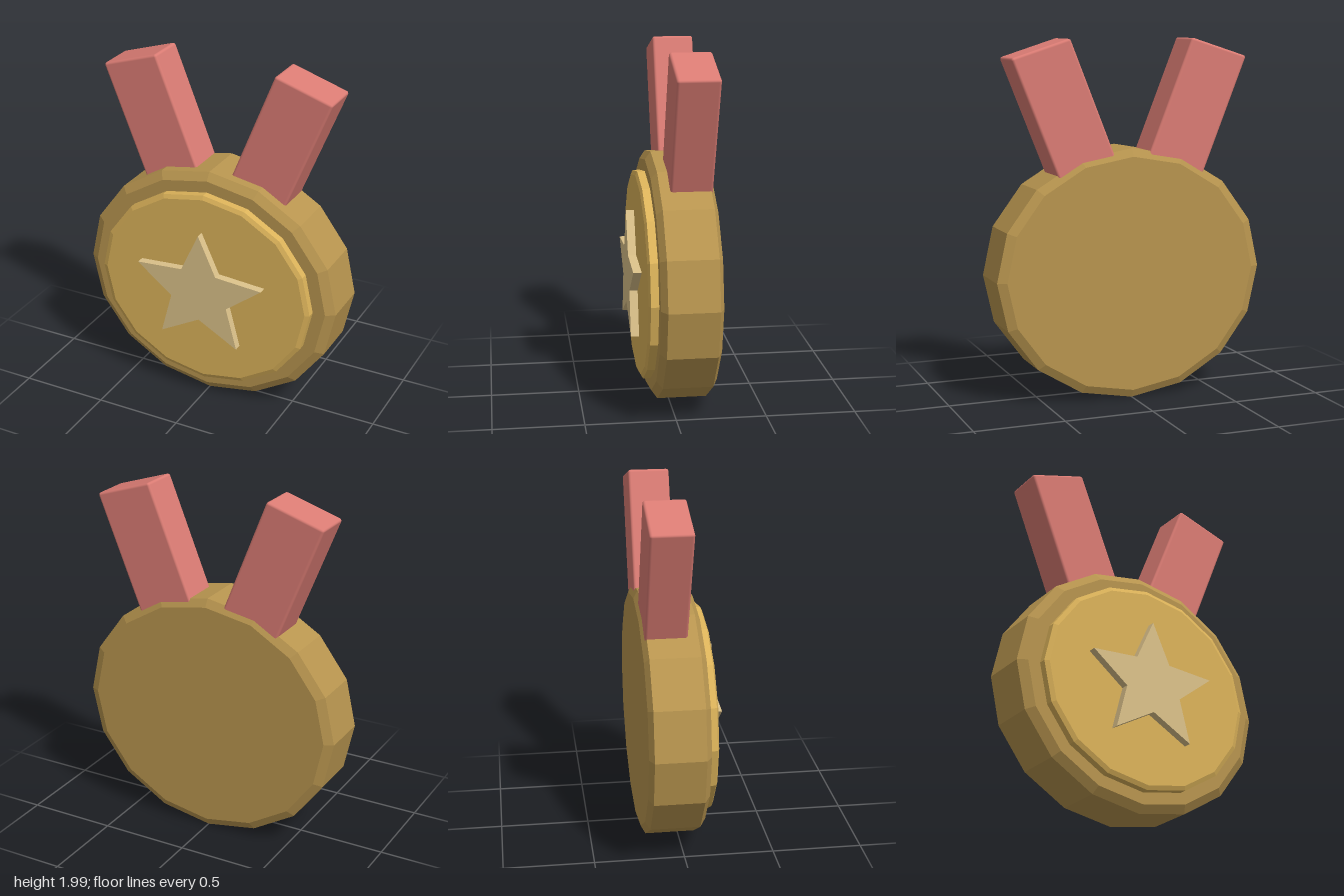
import * as THREE from 'three';
import { RoundedBoxGeometry } from 'three/addons/geometries/RoundedBoxGeometry.js';

const CENTER_Y = 0.702;

function material(name, color) {
  const m = new THREE.MeshStandardMaterial({ color });
  m.name = name;
  return m;
}

// Faceted 16-sided oval disc facing +z; profile holds [radius, z] pairs
function disc(name, profile, rx, ry, mat) {
  const points = profile.map(([r, z]) => new THREE.Vector2(r, z));
  const geo = new THREE.LatheGeometry(points, 16).toNonIndexed();
  geo.rotateX(Math.PI / 2);
  geo.scale(rx, ry, 1);
  geo.computeVertexNormals();
  const mesh = new THREE.Mesh(geo, mat);
  mesh.name = name;
  mesh.position.y = CENTER_Y;
  return mesh;
}

// Five-pointed star plate
function star(mat) {
  const shape = new THREE.Shape();
  for (let i = 0; i < 10; i++) {
    const a = Math.PI / 2 + (i * Math.PI) / 5;
    const k = i % 2 ? 0.45 : 1;
    const x = Math.cos(a) * 0.405 * k;
    const y = Math.sin(a) * 0.368 * k;
    if (i) shape.lineTo(x, y);
    else shape.moveTo(x, y);
  }
  shape.closePath();
  const geo = new THREE.ExtrudeGeometry(shape, { depth: 0.046, bevelEnabled: false });
  const mesh = new THREE.Mesh(geo, mat);
  mesh.name = 'star';
  mesh.position.set(0, CENTER_Y, 0.174);
  return mesh;
}

// Slightly skewed ribbon strap with soft edges; its lower end sits inside the disc
function ribbon(name, side, mat) {
  const length = 0.8;
  const geo = new RoundedBoxGeometry(0.346, length, 0.23, 2, 0.015);
  const across = new THREE.Vector3(0.33, -0.105 * side, 0).normalize();
  const along = new THREE.Vector3(0.25 * side, 0.625, 0).normalize();
  const basis = new THREE.Matrix4().makeBasis(across, along, new THREE.Vector3(0, 0, 1));
  const middle = new THREE.Vector3(0.52 * side, 1.9475, -0.09).addScaledVector(along, -length / 2);
  basis.setPosition(middle);
  geo.applyMatrix4(basis);
  const mesh = new THREE.Mesh(geo, mat);
  mesh.name = name;
  return mesh;
}

export function createModel() {
  const darkGold = material('dark gold', 0xb8954f);
  const gold = material('gold', 0xdcb35a);
  const paleGold = material('pale gold', 0xdcc28a);
  const red = material('ribbon red', 0xdb7c74);

  const group = new THREE.Group();
  group.name = 'medal';
  group.add(
    // Thick outer body, bevelled front and back
    disc('medalBody', [[0, -0.22], [0.935, -0.22], [1, -0.195], [1, 0.08], [0.935, 0.112], [0, 0.112]], 0.775, 0.7, darkGold),
    // Raised face with a thin bevel
    disc('medalFace', [[0, 0.1], [1, 0.1], [1, 0.155], [0.96, 0.166], [0, 0.166]], 0.652, 0.588, gold),
    star(paleGold),
    ribbon('leftRibbon', 1, red),
    ribbon('rightRibbon', -1, red)
  );
  return group;
}
